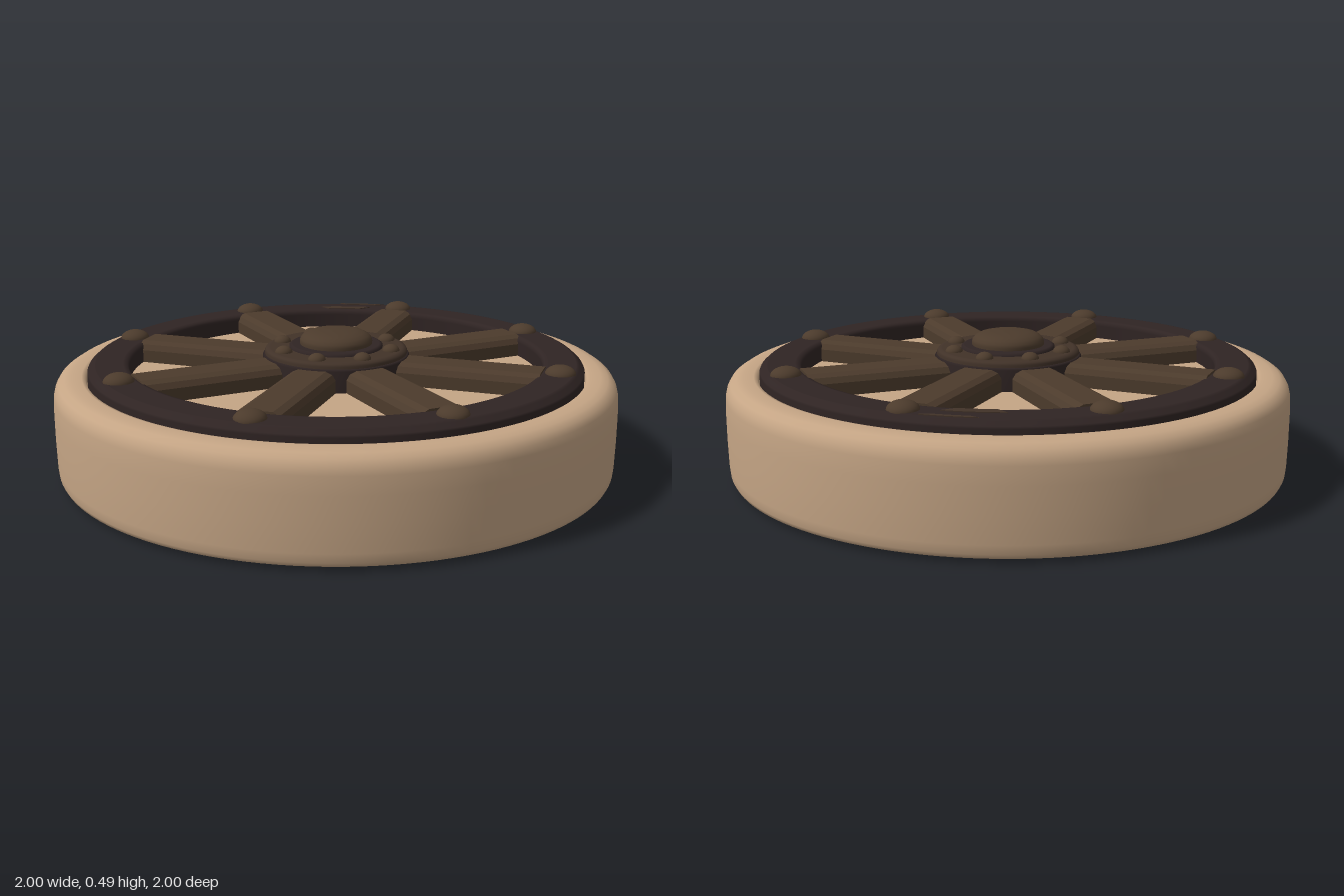
import * as THREE from 'three';

const tan = new THREE.MeshStandardMaterial({ color: 0xc5a585 });
const brown = new THREE.MeshStandardMaterial({ color: 0x4c3b2c });
const hubBrown = new THREE.MeshStandardMaterial({ color: 0x413228 });
const darkIron = new THREE.MeshStandardMaterial({ color: 0x2f2423 });
tan.name = 'tan';
brown.name = 'brown';
hubBrown.name = 'hubBrown';
darkIron.name = 'darkIron';

// Surface of revolution about y; profile runs bottom to top on the outside
function lathe(name, material, profile, segments = 96) {
  const points = profile.map(([r, y]) => new THREE.Vector2(r, y));
  const mesh = new THREE.Mesh(new THREE.LatheGeometry(points, segments), material);
  mesh.name = name;
  return mesh;
}

// Low dome used for the rivets
function rivet(name, material, radius, height) {
  const geometry = new THREE.SphereGeometry(1, 20, 8, 0, Math.PI * 2, 0, Math.PI / 2);
  geometry.scale(radius, height, radius);
  const mesh = new THREE.Mesh(geometry, material);
  mesh.name = name;
  return mesh;
}

// Thin worn patch lying on the rim band
function wornPatch(inner, outer, start, length) {
  const shape = new THREE.Shape();
  shape.absarc(0, 0, outer, start, start + length, false);
  shape.absarc(0, 0, inner, start + length * 0.85, start + length * 0.2, true);
  const geometry = new THREE.ExtrudeGeometry(shape, { depth: 0.003, bevelEnabled: false, curveSegments: 12 });
  geometry.rotateX(-Math.PI / 2);
  const mesh = new THREE.Mesh(geometry, hubBrown);
  mesh.name = 'wornPatch';
  mesh.position.y = 0.4;
  return mesh;
}

export function createModel() {
  const model = new THREE.Group();
  model.name = 'wheel';

  // Thick rounded tyre with a recessed disc and faintly domed underside
  model.add(lathe('tyre', tan, [
    [0, 0], [0.6, 0.004], [0.96, 0.009], [0.975, 0.01], [0.988, 0.016], [0.995, 0.03],
    [0.998, 0.06], [1, 0.15], [1, 0.24], [0.998, 0.3], [0.992, 0.325], [0.98, 0.345],
    [0.96, 0.358], [0.935, 0.363], [0.9, 0.363], [0.888, 0.36], [0.884, 0.35], [0.88, 0.33],
    [0.87, 0.33], [0.5, 0.33], [0, 0.33],
  ], 128));

  // Dark rim band with softened edges
  model.add(lathe('rimBand', darkIron, [
    [0.88, 0.325], [0.88, 0.376], [0.877, 0.383], [0.868, 0.387], [0.862, 0.396], [0.853, 0.4],
    [0.85, 0.4], [0.755, 0.4], [0.752, 0.4], [0.74, 0.397], [0.735, 0.388], [0.735, 0.38], [0.735, 0.325],
  ], 128));
  model.add(wornPatch(0.755, 0.79, 0.93, 0.26));
  model.add(wornPatch(0.835, 0.85, 0.87, 0.22));

  // Chamfered spokes, each with a rivet at its outer end
  const section = new THREE.Shape([
    [-0.083, 0.325], [0.083, 0.325], [0.083, 0.375], [0.072, 0.395], [0.05, 0.406],
    [-0.05, 0.406], [-0.072, 0.395], [-0.083, 0.375],
  ].map(([x, y]) => new THREE.Vector2(x, y)));
  const spokeGeometry = new THREE.ExtrudeGeometry(section, { depth: 0.545, bevelEnabled: false });
  spokeGeometry.translate(0, 0, 0.2);
  for (let i = 0; i < 8; i++) {
    const arm = new THREE.Group();
    arm.name = 'spokeArm';
    arm.rotation.y = (i * Math.PI) / 4;
    const spoke = new THREE.Mesh(spokeGeometry, brown);
    spoke.name = 'spoke';
    const rimRivet = rivet('rimRivet', brown, 0.053, 0.032);
    rimRivet.position.set(0, 0.397, 0.805);
    const hubRivet = rivet('hubRivet', brown, 0.031, 0.024);
    hubRivet.position.set(0, 0.43, 0.205);
    arm.add(spoke, rimRivet, hubRivet);
    model.add(arm);
  }

  // Hub: dark foot, flange, grooved collar and domed cap
  model.add(lathe('hubFoot', darkIron, [[0.262, 0.325], [0.262, 0.405], [0.255, 0.412], [0.2, 0.412]], 64));
  model.add(lathe('hubFlange', hubBrown, [
    [0.255, 0.4], [0.255, 0.42], [0.251, 0.428], [0.241, 0.432], [0.235, 0.432], [0.165, 0.432], [0, 0.432],
  ], 64));
  model.add(lathe('hubCollar', darkIron, [
    [0.168, 0.43], [0.167, 0.438], [0.16, 0.443], [0.155, 0.443], [0.12, 0.443], [0.1, 0.443],
  ], 64));
  model.add(lathe('hubCap', brown, [
    [0.128, 0.436], [0.13, 0.452], [0.127, 0.463], [0.117, 0.474], [0.1, 0.483],
    [0.075, 0.489], [0.04, 0.492], [0, 0.493],
  ], 64));

  return model;
}
